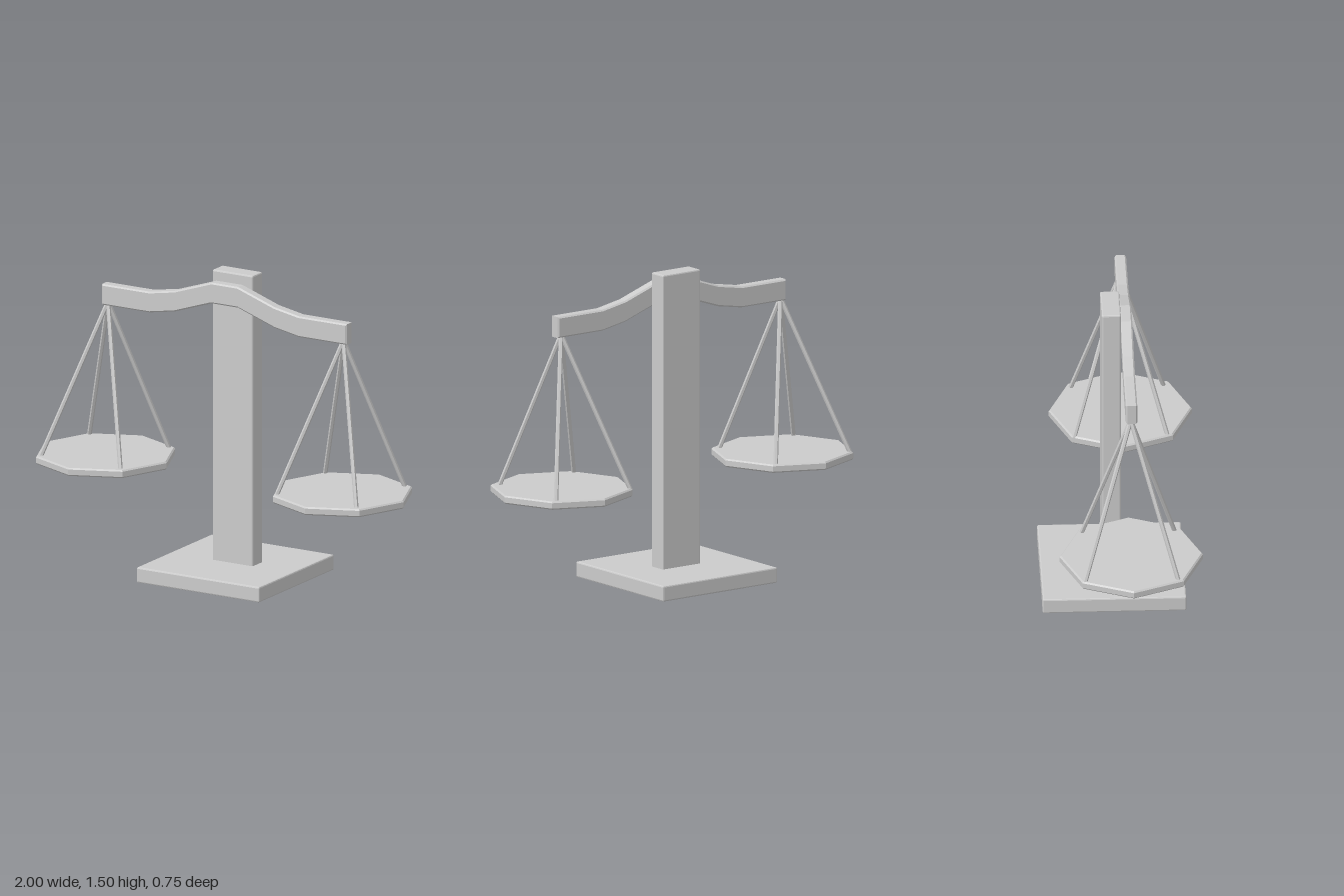
import * as THREE from 'three';
import { RoundedBoxGeometry } from 'three/addons/geometries/RoundedBoxGeometry.js';

const material = new THREE.MeshStandardMaterial({ color: 0xcccccc, flatShading: true });
const BEVEL = 0.007;

function part(name, geometry, parent) {
  const mesh = new THREE.Mesh(geometry, material);
  mesh.name = name;
  parent.add(mesh);
  return mesh;
}

// Box with chamfered edges, given by its lower and upper corners
function block(name, [x0, y0, z0], [x1, y1, z1], parent) {
  const geometry = new RoundedBoxGeometry(x1 - x0, y1 - y0, z1 - z0, 1, BEVEL);
  part(name, geometry, parent).position.set((x0 + x1) / 2, (y0 + y1) / 2, (z0 + z1) / 2);
}

// Thin rod between two points
function rod(name, from, to, parent) {
  const dir = to.clone().sub(from);
  const mesh = part(name, new THREE.CylinderGeometry(0.011, 0.011, dir.length(), 6), parent);
  mesh.position.copy(from).add(to).multiplyScalar(0.5);
  mesh.quaternion.setFromUnitVectors(new THREE.Vector3(0, 1, 0), dir.normalize());
}

// Arched beam: a centre line of constant height, extruded in z
function beamGeometry() {
  const line = [
    [-0.665, 1.31], [-0.4, 1.31], [-0.26, 1.335], [-0.055, 1.405],
    [0.09, 1.405], [0.295, 1.335], [0.43, 1.31], [0.697, 1.31],
  ];
  const outline = [
    ...line.map(([x, y]) => new THREE.Vector2(x, y - 0.051)),
    ...line.map(([x, y]) => new THREE.Vector2(x, y + 0.051)).reverse(),
  ];
  const geometry = new THREE.ExtrudeGeometry(new THREE.Shape(outline), {
    depth: 0.055 - 2 * BEVEL, bevelThickness: BEVEL, bevelSize: BEVEL,
    bevelOffset: -BEVEL, bevelSegments: 1,
  });
  return geometry.translate(0, 0, 0.006 + BEVEL);
}

// Octagonal pan with chamfered rims, hung on four rods
function hangingPan(name, x, apexX, ringX) {
  const group = new THREE.Group();
  group.name = name;
  const r = 0.34, y0 = 0.49, y1 = 0.53;
  const profile = [
    [0, y0], [r - BEVEL, y0], [r, y0 + BEVEL], [r, y1 - BEVEL], [r - BEVEL, y1], [0, y1],
  ].map(([px, py]) => new THREE.Vector2(px, py));
  part('pan', new THREE.LatheGeometry(profile, 8), group).position.set(x, 0, 0.032);

  const apex = new THREE.Vector3(apexX, 1.27, 0.03);
  for (const sx of [-1, 1]) {
    for (const sz of [-1, 1]) {
      rod('panRod', new THREE.Vector3(ringX + sx * 0.223, 0.52, 0.025 + sz * 0.222), apex, group);
    }
  }
  return group;
}

export function createModel() {
  const model = new THREE.Group();
  model.name = 'balanceScale';
  block('base', [-0.32, 0, -0.375], [0.362, 0.076, 0.307], model);
  block('post', [-0.083, 0.06, -0.085], [0.142, 1.505, 0.006], model);
  part('beam', beamGeometry(), model);
  model.add(hangingPan('rightPan', -0.66, -0.647, -0.668));
  model.add(hangingPan('leftPan', 0.657, 0.662, 0.643));
  return model;
}
